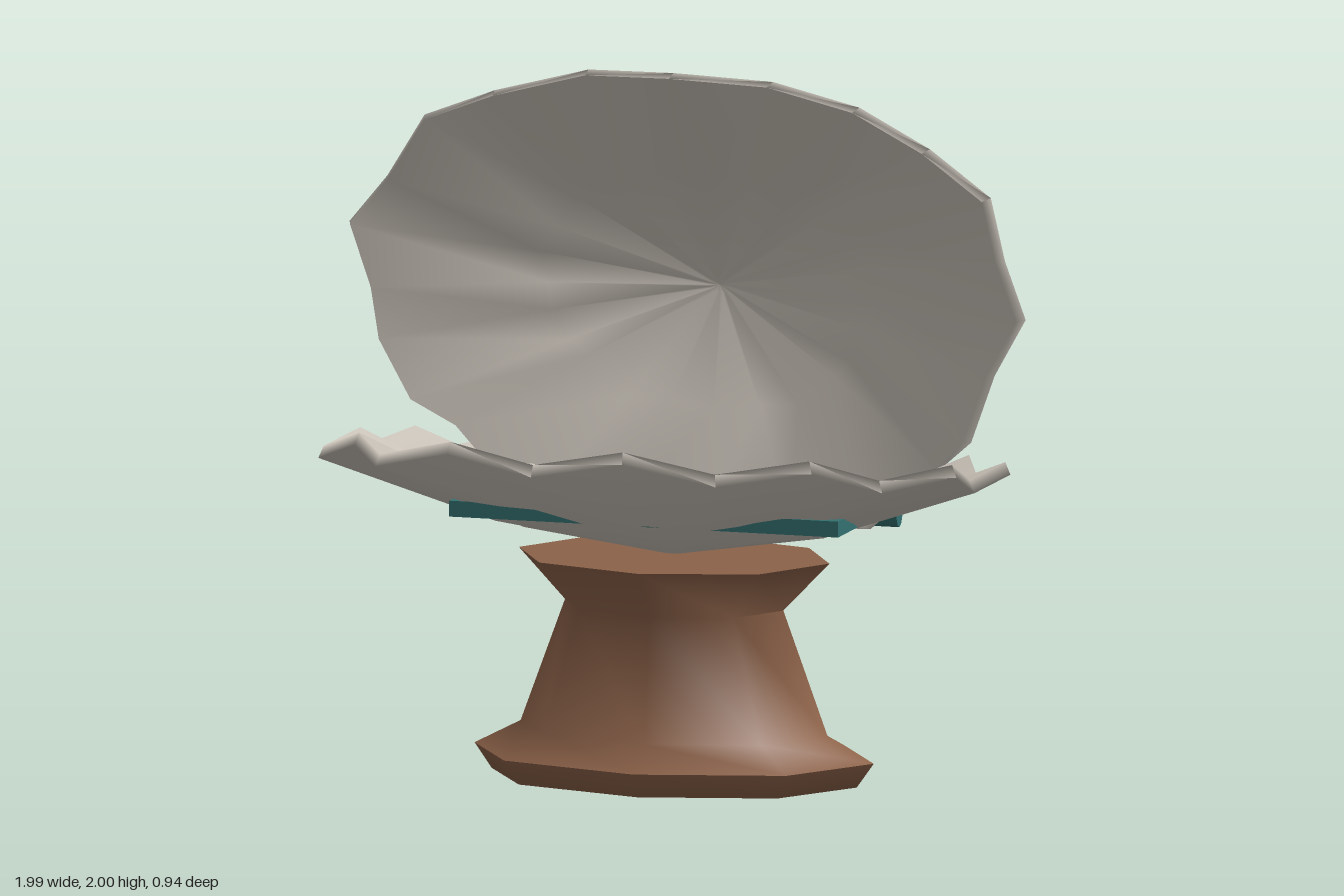
import * as THREE from 'three';
import { toCreasedNormals } from 'three/addons/utils/BufferGeometryUtils.js';

const material = (name, color) => {
  const m = new THREE.MeshStandardMaterial({ color });
  m.name = name;
  return m;
};

// Scalloped rim outline (x, z), every 15 degrees starting at the front
const RIM = [
  [0, 0.465], [0.27, 0.45], [0.54, 0.415], [0.72, 0.33], [0.91, 0.245], [0.92, 0.11],
  [0.99, 0], [0.87, -0.11], [0.81, -0.225], [0.7, -0.28], [0.5, -0.39], [0.26, -0.4],
  [0, -0.42], [-0.26, -0.4], [-0.5, -0.39], [-0.72, -0.25], [-0.83, -0.2], [-0.935, -0.1],
  [-0.93, 0], [-1, 0.12], [-0.86, 0.225], [-0.76, 0.345], [-0.53, 0.41], [-0.27, 0.455],
];

// Cross-section from the outer centre over the rim to the inner centre:
// [fraction of outline, fraction of rim height, vertical offset]
const SECTION = [
  [0, 0, 0], [0.03, 0.01, 0], [0.5, 0.28, 0], [1, 1, -0.035],
  [0.985, 1, 0], [0.5, 0.28, 0.03], [0.03, 0.01, 0.03], [0, 0, 0.03],
];

// Shell half; place() maps the bowl into position, flip reverses mirrored faces
function shellGeometry(place, flip) {
  const pos = [], index = [], n = RIM.length;
  for (const [f, h, offset] of SECTION) {
    RIM.forEach(([x, z], i) => {
      const rimHeight = 0.285 + 0.11 * z + (i % 2 ? -0.025 : 0.025);
      pos.push(...place(x * f, rimHeight * h + offset, z * f));
    });
  }
  for (let r = 0; r < SECTION.length - 1; r++) {
    for (let i = 0; i < n; i++) {
      const j = (i + 1) % n;
      const a = r * n + i, b = r * n + j, c = a + n, d = b + n;
      if (flip) index.push(a, c, b, b, c, d);
      else index.push(a, b, c, b, d, c);
    }
  }
  const g = new THREE.BufferGeometry();
  g.setAttribute('position', new THREE.Float32BufferAttribute(pos, 3));
  g.setIndex(index);
  g.computeVertexNormals();
  return g;
}

export function createModel() {
  const group = new THREE.Group();
  const shellMat = material('shell grey', 0xcbc4ba);
  const woodMat = material('pedestal brown', 0x8c6249);
  const tealMat = material('teal', 0x347070);

  const add = (name, geometry, mat, x = 0, y = 0, z = 0) => {
    const mesh = new THREE.Mesh(geometry, mat);
    mesh.name = name;
    mesh.position.set(x, y, z);
    group.add(mesh);
    return mesh;
  };

  // Pedestal: eight-sided oval loft, rows of [y, x radius, z radius]
  const rows = [
    [0, 0, 0], [0, 0.535, 0.34], [0.07, 0.585, 0.375], [0.14, 0.45, 0.28],
    [0.49, 0.32, 0.232], [0.63, 0.455, 0.325], [0.63, 0, 0],
  ];
  const base = new THREE.LatheGeometry(rows.map(([y, rx]) => new THREE.Vector2(rx, y)), 8);
  const p = base.attributes.position;
  for (let i = 0; i < p.count; i++) {
    const [, rx, rz] = rows[i % rows.length];
    if (rx) p.setZ(i, p.getZ(i) * rz / rx);
  }
  add('pedestal', toCreasedNormals(base, 1.25), woodMat, -0.005, 0, -0.03);

  // Shell halves: the lower lies flat, the upper stands open behind it
  add('lowerShell', shellGeometry((x, y, z) => [x, 0.64 + y, z], false), shellMat);
  add('upperShell', shellGeometry((x, y, z) => [
    x,
    1.33 + z * (z > 0 ? 1.44 : 1.63),
    -0.47 + 1.2 * y + 0.15 * z,
  ], true), shellMat);

  // Tray inside the lower shell
  add('tray', new THREE.BoxGeometry(1.14, 0.045, 0.45), tealMat, -0.005, 0.778, 0.025);

  // Hinge rod along the back, flattened front to back
  const rod = new THREE.CylinderGeometry(0.06, 0.06, 1.14, 12);
  rod.rotateZ(Math.PI / 2);
  rod.scale(1, 1, 0.53);
  add('hingeRod', rod, tealMat, -0.005, 0.753, -0.312);

  return group;
}
